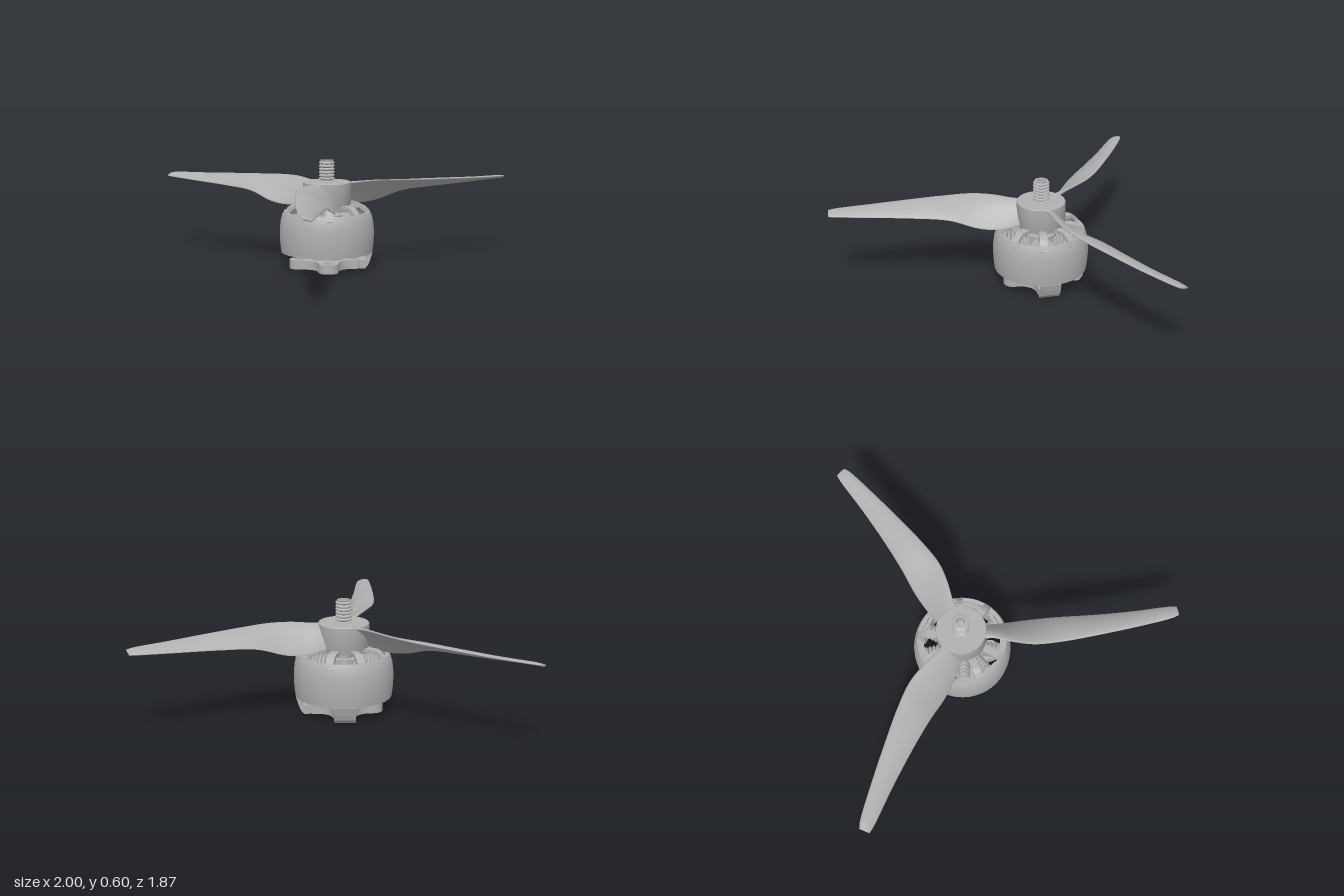
import * as THREE from 'three';
import { toCreasedNormals } from 'three/addons/utils/BufferGeometryUtils.js';

const grey = new THREE.MeshStandardMaterial({ color: 0xb0b0b0 });
grey.name = 'grey';

function add(parent, name, geometry, angle = 0) {
  const mesh = new THREE.Mesh(geometry, grey);
  mesh.name = name;
  mesh.rotation.y = angle;
  parent.add(mesh);
  return mesh;
}

// Turned part from [radius, height] pairs, outside running upwards
function turned(points, segments = 64) {
  const g = new THREE.LatheGeometry(points.map(([r, y]) => new THREE.Vector2(r, y)), segments);
  return toCreasedNormals(g, 0.6);
}

// Side profile in (radius, height), given a width across the radius
function radialBar(points, width) {
  const shape = new THREE.Shape(points.map(([r, y]) => new THREE.Vector2(r, y)));
  const g = new THREE.ExtrudeGeometry(shape, { depth: width, bevelEnabled: false });
  return g.translate(0, 0, -width / 2);
}

// Zigzag outline used for threads and windings
function ridges(from, to, count, inner, outer) {
  const points = [];
  const step = (to - from) / count;
  for (let i = 0; i < count; i++) {
    points.push([inner, from + i * step], [outer, from + (i + 0.35) * step], [outer, from + (i + 0.65) * step]);
  }
  points.push([inner, to]);
  return points;
}

// Twisted, swept blade pointing along +z, lofted between its two edge curves
function bladeGeometry() {
  const curve = (pts) => new THREE.CatmullRomCurve3(pts.map((p) => new THREE.Vector3(...p)));
  const high = curve([
    [-0.07, 0.47, 0.07], [-0.08, 0.478, 0.14], [-0.13, 0.487, 0.24], [-0.172, 0.487, 0.35], [-0.191, 0.48, 0.5],
    [-0.198, 0.472, 0.7], [-0.2, 0.464, 0.9], [-0.195, 0.459, 1.1], [-0.187, 0.457, 1.135]]);
  const low = curve([
    [0.04, 0.375, 0.07], [0.037, 0.36, 0.14], [0.029, 0.345, 0.24], [0.013, 0.357, 0.35], [-0.023, 0.402, 0.5],
    [-0.064, 0.418, 0.7], [-0.097, 0.428, 0.9], [-0.123, 0.44, 1.1], [-0.133, 0.442, 1.14]]);
  const rows = 48, ring = 24, pos = [], index = [];
  for (let i = 0; i <= rows + 1; i++) {
    const t = Math.min(i / rows, 1);
    const a = high.getPoint(t), b = low.getPoint(t);
    const thick = 0.016 - 0.009 * t, camber = 0.026 * (1 - t);
    for (let k = 0; k < ring; k++) {
      const angle = (k / ring) * Math.PI * 2;
      // the extra last row closes the tip
      const s = i > rows ? 0.5 : (1 - Math.cos(angle)) / 2;
      const p = a.clone().lerp(b, s);
      p.y += camber * 4 * s * (1 - s) + (i > rows ? 0 : thick * Math.sin(angle));
      pos.push(p.x, p.y, p.z);
      if (i > rows) continue;
      const k2 = (k + 1) % ring;
      const p0 = i * ring + k, p1 = i * ring + k2, q0 = p0 + ring, q1 = p1 + ring;
      index.push(p0, q0, p1, p1, q0, q1);
    }
  }
  const g = new THREE.BufferGeometry();
  g.setAttribute('position', new THREE.Float32BufferAttribute(pos, 3));
  g.setIndex(index);
  g.computeVertexNormals();
  return g;
}

// Four-lobed mounting plate with screw holes
function baseGeometry() {
  const shape = new THREE.Shape();
  const reach = 0.153, lobe = 0.055;
  for (let i = 0; i < 4; i++) {
    const a = (i * Math.PI) / 2;
    const cx = reach * Math.cos(a), cy = reach * Math.sin(a);
    shape.absarc(cx, cy, lobe, a - 1.7, a + 1.7, false);
    const n = a + Math.PI / 2;
    const m = a + Math.PI / 4;
    shape.quadraticCurveTo(0.085 * Math.cos(m), 0.085 * Math.sin(m),
      reach * Math.cos(n) + lobe * Math.cos(n - 1.7), reach * Math.sin(n) + lobe * Math.sin(n - 1.7));
    const hole = new THREE.Path();
    hole.absarc(cx, cy, 0.024, 0, Math.PI * 2, true);
    shape.holes.push(hole);
  }
  const centre = new THREE.Path();
  centre.absarc(0, 0, 0.05, 0, Math.PI * 2, true);
  shape.holes.push(centre);
  const g = new THREE.ExtrudeGeometry(shape, { depth: 0.05, bevelEnabled: false, curveSegments: 16 });
  return toCreasedNormals(g.rotateX(-Math.PI / 2), 0.6);
}

export function createModel() {
  const model = new THREE.Group();
  model.name = 'propellerMotor';
  const body = new THREE.Group();
  body.name = 'motorAndPropeller';
  body.position.set(-0.083, 0, -0.205);
  model.add(body);

  // Base, with two upturned tabs
  add(body, 'mountingBase', baseGeometry());
  const tab = radialBar([[0.18, 0], [0.208, 0], [0.226, 0.02], [0.238, 0.05], [0.25, 0.09],
    [0.232, 0.09], [0.217, 0.055], [0.21, 0.05], [0.18, 0.05]], 0.11);
  add(body, 'baseTab', tab);
  add(body, 'baseTab', tab, Math.PI / 2);
  add(body, 'bearingPost', turned([[0.05, 0.04], [0.085, 0.04], [0.085, 0.3], [0.05, 0.3], [0.05, 0.04]], 40));

  // Stator with ribbed windings
  const coil = turned([[0, 0.08], ...ridges(0.08, 0.205, 6, 0.026, 0.034), [0, 0.205]], 16);
  coil.rotateZ(-Math.PI / 2).scale(1, 2.5, 1).translate(0, 0.205, 0);
  const shoe = new THREE.BoxGeometry(0.018, 0.15, 0.11).translate(0.211, 0.205, 0);
  // Spokes arching from the rim to the hub plate
  const spoke = radialBar([[0.24, 0.28], [0.25, 0.295], [0.236, 0.325], [0.215, 0.347], [0.19, 0.36], [0.08, 0.36],
    [0.08, 0.343], [0.185, 0.343], [0.208, 0.325], [0.222, 0.3]], 0.04);
  for (let i = 0; i < 9; i++) {
    const a = Math.PI / 2 + (i / 9) * Math.PI * 2;
    add(body, 'winding', coil, a);
    add(body, 'statorShoe', shoe, a);
    add(body, 'bellSpoke', spoke, a + Math.PI / 9);
  }

  // Rotating bell and its magnets
  add(body, 'bell', turned([[0.238, 0.093], [0.254, 0.093], [0.259, 0.13], [0.262, 0.18], [0.261, 0.23], [0.256, 0.27],
    [0.248, 0.3], [0.239, 0.32], [0.22, 0.318], [0.228, 0.295], [0.238, 0.26], [0.238, 0.093]], 80));
  const magnet = new THREE.BoxGeometry(0.012, 0.15, 0.08).translate(0.233, 0.19, 0);
  for (let i = 0; i < 14; i++) add(body, 'magnet', magnet, (i / 14) * Math.PI * 2);
  add(body, 'bellPlate', turned([[0, 0.335], [0.12, 0.335], [0.125, 0.362], [0, 0.362]], 48));
  add(body, 'innerShaft', turned([[0, 0.03], [0.035, 0.03], [0.035, 0.34], [0, 0.34]], 32));

  // Propeller hub, threaded shaft and blades
  add(body, 'propellerHub', turned([[0, 0.358], [0.131, 0.358], [0.133, 0.362], [0.133, 0.48], [0.13, 0.484], [0, 0.484]]));
  add(body, 'threadedShaft', turned([[0.036, 0.46], ...ridges(0.475, 0.598, 7, 0.034, 0.044), [0.036, 0.603],
    [0.024, 0.603], [0.024, 0.55], [0, 0.55]], 32));
  const blade = bladeGeometry();
  for (let i = 0; i < 3; i++) add(body, 'blade', blade, (i / 3) * Math.PI * 2);

  return model;
}
